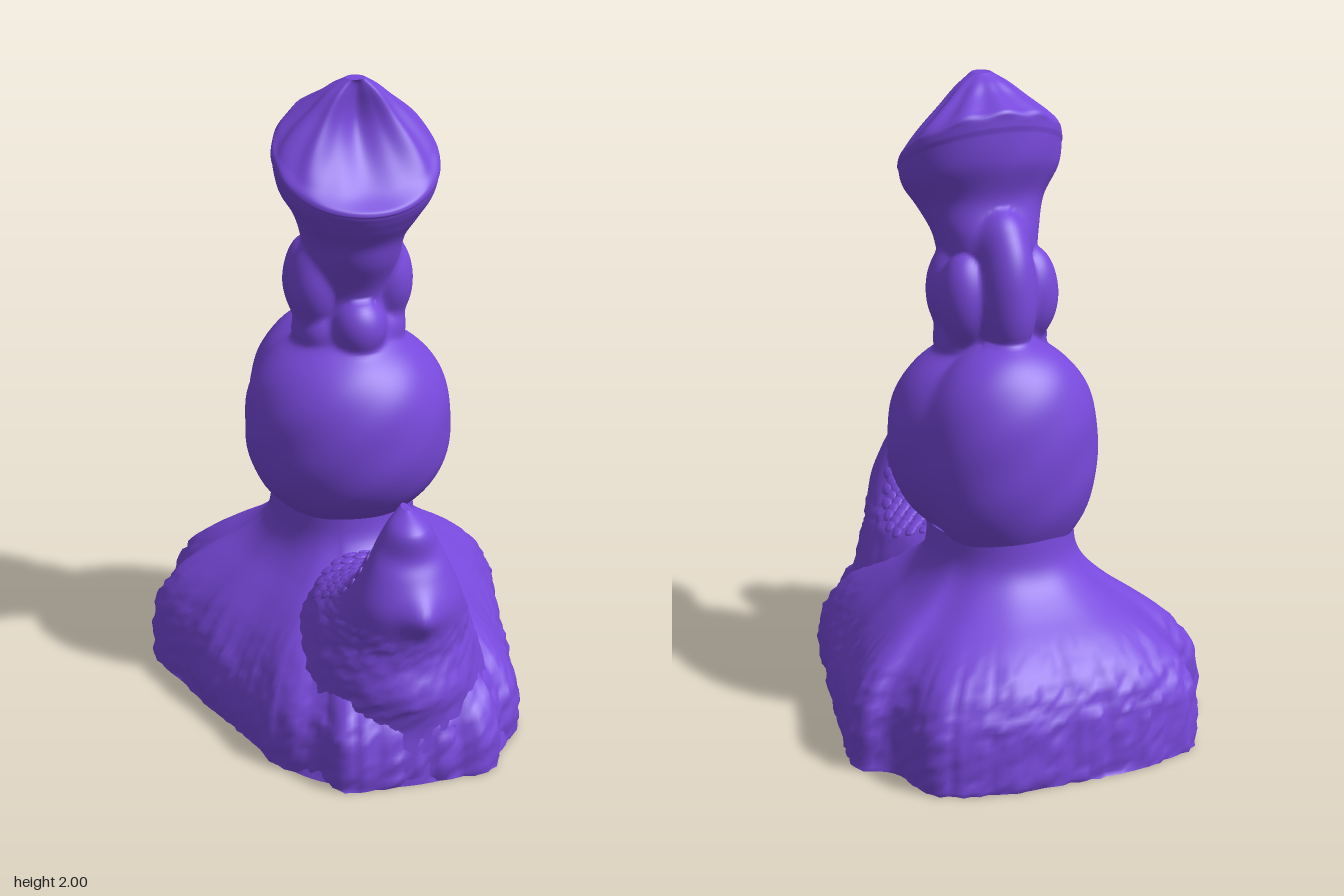
import * as THREE from 'three';

const purple = new THREE.MeshStandardMaterial({ color: 0x7849dc });
purple.name = 'purple';

// Smooth interpolation through evenly spaced rows of numbers
function sample(rows, u) {
  const last = rows.length - 1;
  const i = Math.min(Math.floor(u * last), last - 1);
  const t = u * last - i;
  const p = rows[Math.max(i - 1, 0)], q = rows[i], r = rows[i + 1], s = rows[Math.min(i + 2, last)];
  return q.map((v, k) => v + 0.5 * t * (r[k] - p[k] + t * (2 * p[k] - 5 * v + 4 * r[k] - s[k] + t * (3 * (v - r[k]) + s[k] - p[k]))));
}

// Repeatable rough value between -1 and 1
function rough(i, j) {
  const s = Math.sin(i * 127.1 + j * 311.7) * 43758.5453;
  return 2 * (s - Math.floor(s)) - 1;
}

// Closed skin of rings; point(u, j, a, i) gives [x, y, z]
function loft(point, levels, n) {
  const pos = [], idx = [];
  for (let i = 0; i <= levels; i++)
    for (let j = 0; j < n; j++) pos.push(...point(i / levels, j, (j / n) * Math.PI * 2, i));
  for (let i = 0; i < levels; i++)
    for (let j = 0; j < n; j++) {
      const k = (j + 1) % n, a = i * n, b = a + n;
      idx.push(a + j, b + j, a + k, b + j, b + k, a + k);
    }
  // End caps with their own corners
  for (const row of [0, levels]) {
    const ring = pos.slice(row * n * 3, (row + 1) * n * 3);
    const start = pos.length / 3, mid = [0, 0, 0];
    ring.forEach((v, m) => { mid[m % 3] += v / n; });
    pos.push(...ring, ...mid);
    for (let j = 0; j < n; j++) {
      const k = (j + 1) % n;
      if (row === 0) idx.push(start + j, start + k, start + n);
      else idx.push(start + k, start + j, start + n);
    }
  }
  const g = new THREE.BufferGeometry();
  g.setAttribute('position', new THREE.Float32BufferAttribute(pos, 3));
  g.setIndex(idx);
  g.computeVertexNormals();
  return g;
}

function add(parent, name, geometry) {
  const mesh = new THREE.Mesh(geometry, purple);
  mesh.name = name;
  parent.add(mesh);
  return mesh;
}

function buildBase(group) {
  // Half of the ground outline, back to front
  const half = [[0, -0.715], [0.25, -0.7], [0.43, -0.63], [0.48, -0.45], [0.57, -0.38], [0.525, -0.1],
    [0.485, 0.1], [0.42, 0.32], [0.385, 0.47], [0.28, 0.58], [0.24, 0.67], [0, 0.69]];
  const pts = half.concat(half.slice(1, -1).reverse().map(([x, z]) => [-x, z]));
  const n = 180;
  const outline = new THREE.CatmullRomCurve3(pts.map(([x, z]) => new THREE.Vector3(x, 0, z)), true, 'centripetal').getSpacedPoints(n);
  // Height and blend from ground outline to waist
  const rows = [[0, 0.01], [0.08, 0], [0.17, 0.03], [0.24, 0.12], [0.31, 0.27], [0.38, 0.5],
    [0.44, 0.73], [0.5, 0.9], [0.56, 0.98], [0.64, 1]];
  add(group, 'base', loft((u, j, a, i) => {
    const [y, blend] = sample(rows, u);
    const o = outline[j];
    const ang = Math.atan2(o.z + 0.12, o.x);
    // The back stays full for longer, the front flanks fall away sooner
    const side = Math.atan2(o.z + 0.12, Math.abs(o.x));
    const power = 1 + 0.3 * Math.max(0, -Math.sin(ang)) - 0.25 * Math.exp(-(((side - 0.5) / 0.45) ** 2));
    const t = Math.max(0, blend) ** power;
    const wall = Math.max(0, 1 - t * 2.2) * (i === 0 ? 0.5 : 1);
    const jag = wall * (0.012 * rough(j, 1) + 0.012 * rough(j, i + 5));
    const fold = 0.01 * Math.sin(ang * 9) * Math.sin(Math.PI * Math.min(1, t));
    const k = 1 + jag + fold;
    return [THREE.MathUtils.lerp(o.x, 0.22 * Math.cos(ang), t) * k, y + (i ? jag * 0.3 : 0),
      THREE.MathUtils.lerp(o.z, -0.13 + 0.25 * Math.sin(ang), t) * k];
  }, 36, n));
}

function buildHorn(group) {
  // Front height, front z, back height, back z, half width
  const rows = [[0, 0.69, 0, 0.1, 0.37], [0.18, 0.685, 0.32, 0.0, 0.3], [0.28, 0.705, 0.5, 0.1, 0.245],
    [0.38, 0.675, 0.53, 0.22, 0.215], [0.46, 0.675, 0.555, 0.32, 0.19], [0.55, 0.685, 0.61, 0.39, 0.16],
    [0.64, 0.65, 0.68, 0.44, 0.125], [0.7, 0.62, 0.75, 0.465, 0.095], [0.78, 0.615, 0.8, 0.48, 0.06],
    [0.83, 0.54, 0.835, 0.49, 0.012]];
  const at = (u, a) => {
    const [yf, zf, yb, zb, w] = sample(rows, u);
    const s = (1 + Math.sin(a)) / 2;
    return [w * Math.cos(a), yb + (yf - yb) * s, zb + (zf - zb) * s];
  };
  add(group, 'horn', loft((u, j, a, i) => {
    const [x, y, z] = at(u, a);
    const r = u < 0.45 && i > 0 ? 0.006 * rough(j, i) : 0;
    // Small bump on the front face
    const bump = Math.sin(a) > 0 ? 0.035 * Math.exp(-((x / 0.05) ** 2) - ((y - 0.55) / 0.055) ** 2) : 0;
    return [x + r * Math.cos(a), y, z + r * Math.sin(a) + bump];
  }, 48, 72));

  // Overlapping scales on the inner face
  const scales = new THREE.Group();
  scales.name = 'hornScales';
  group.add(scales);
  const shape = new THREE.SphereGeometry(1, 8, 6);
  for (let r = 0; r < 13; r++) {
    const u = 0.26 + r * 0.034;
    for (let c = -5; c <= 5; c++) {
      const a = -Math.PI / 2 + (c + (r % 2) * 0.5 - 0.25) * 0.2;
      const p = new THREE.Vector3(...at(u, a));
      const along = new THREE.Vector3(...at(u + 0.02, a)).sub(p);
      const across = new THREE.Vector3(...at(u, a + 0.05)).sub(p);
      const normal = along.clone().cross(across).normalize();
      const m = add(scales, 'scale', shape);
      m.position.copy(p);
      m.quaternion.setFromUnitVectors(new THREE.Vector3(0, 0, 1), normal);
      m.scale.set(0.026, 0.02, 0.007);
    }
  }
}

// Swellings of the column: centre, radii, squareness in height
const swellings = [
  [[0, 0.885, -0.06], [0.325, 0.32, 0.3], 2.4],
  [[0, 0.88, -0.215], [0.275, 0.345, 0.215], 2.5],
  [[0, 1.35, -0.18], [0.09, 0.2, 0.11], 2.2],
  [[0, 1.48, -0.14], [0.085, 0.13, 0.105], 2],
  [[0, 1.23, 0.06], [0.08, 0.09, 0.075], 2],
];
for (const s of [-1, 1]) {
  swellings.push(
    [[s * 0.12, 1.35, -0.03], [0.078, 0.13, 0.09], 2],
    [[s * 0.11, 1.34, -0.12], [0.08, 0.14, 0.085], 2],
    [[s * 0.1, 1.2, -0.05], [0.08, 0.09, 0.1], 2]);
}

// Distance from the axis point (0, y, z0) to the far side of a swelling
function reach([[cx, cy, cz], [rx, ry, rz], power], y, z0, dx, dz) {
  const d = Math.abs((y - cy) / ry);
  if (d >= 1) return 0;
  const s = Math.sqrt(1 - d ** power);
  const ux = dx / (rx * s), uz = dz / (rz * s), ox = -cx / (rx * s), oz = (z0 - cz) / (rz * s);
  const a = ux * ux + uz * uz, b = ux * ox + uz * oz, c = ox * ox + oz * oz - 1;
  const disc = b * b - a * c;
  return disc < 0 ? 0 : Math.max(0, (-b + Math.sqrt(disc)) / a);
}

function buildColumn(group) {
  // Height, centre z, half width, half depth, forward tilt
  const rows = [[0.45, -0.13, 0.21, 0.24, 0], [0.6, -0.13, 0.21, 0.235, 0], [0.85, -0.1, 0.22, 0.22, 0],
    [1.08, -0.07, 0.18, 0.19, 0], [1.2, -0.06, 0.15, 0.155, 0], [1.32, -0.06, 0.135, 0.135, 0],
    [1.44, -0.03, 0.15, 0.165, 0], [1.52, -0.01, 0.165, 0.17, 0.05], [1.6, 0.025, 0.2, 0.17, 0.2],
    [1.68, 0.02, 0.245, 0.195, 0.4], [1.755, 0.025, 0.255, 0.2, 0.6], [1.795, 0.015, 0.235, 0.185, 0.6],
    [1.845, 0.005, 0.195, 0.15, 0.5], [1.905, 0.005, 0.135, 0.1, 0.4],
    [1.96, 0.01, 0.08, 0.065, 0.2], [1.995, 0.015, 0.03, 0.03, 0]];
  const soft = 0.012;
  add(group, 'columnAndCrown', loft((u, j, a) => {
    const [y, zc, rx, rz, tilt] = sample(rows, u);
    // Radiating furrows and a hollow front above the rim
    const crown = Math.sin(Math.max(0, (u - 0.68) / 0.32) * Math.PI);
    const f = 1 + 0.04 * Math.sin(a * 11) * crown;
    const hollow = 0.075 * crown * Math.exp(-(((a - Math.PI / 2) / 0.6) ** 2));
    const bx = rx * Math.cos(a) * f, bz = rz * Math.sin(a) * f;
    const core = Math.hypot(bx, bz), dx = bx / core, dz = bz / core;
    const h = y - tilt * bz;
    // Soft union of the core with every swelling
    const spans = [core, ...swellings.map((s) => reach(s, h, zc, dx, dz))];
    const top = Math.max(...spans);
    const r = u > 0.65 ? core : top + soft * Math.log(spans.reduce((sum, v) => sum + Math.exp((v - top) / soft), 0)) - soft * 0.3;
    const wave = 1 + 0.008 * Math.sin(5 * a + 14 * h) * Math.sin(17 * h + 2 * a);
    return [dx * r * wave, h, zc + dz * r * wave - hollow];
  }, 180, 120));
  // Small knob inside the lip
  const knob = add(group, 'crownKnob', new THREE.ConeGeometry(0.035, 0.06, 16));
  knob.position.set(0, 1.68, 0.12);
  knob.rotation.x = 0.4;
}

export function createModel() {
  const model = new THREE.Group();
  model.name = 'sculptedColumn';
  buildBase(model);
  buildHorn(model);
  buildColumn(model);
  return model;
}
